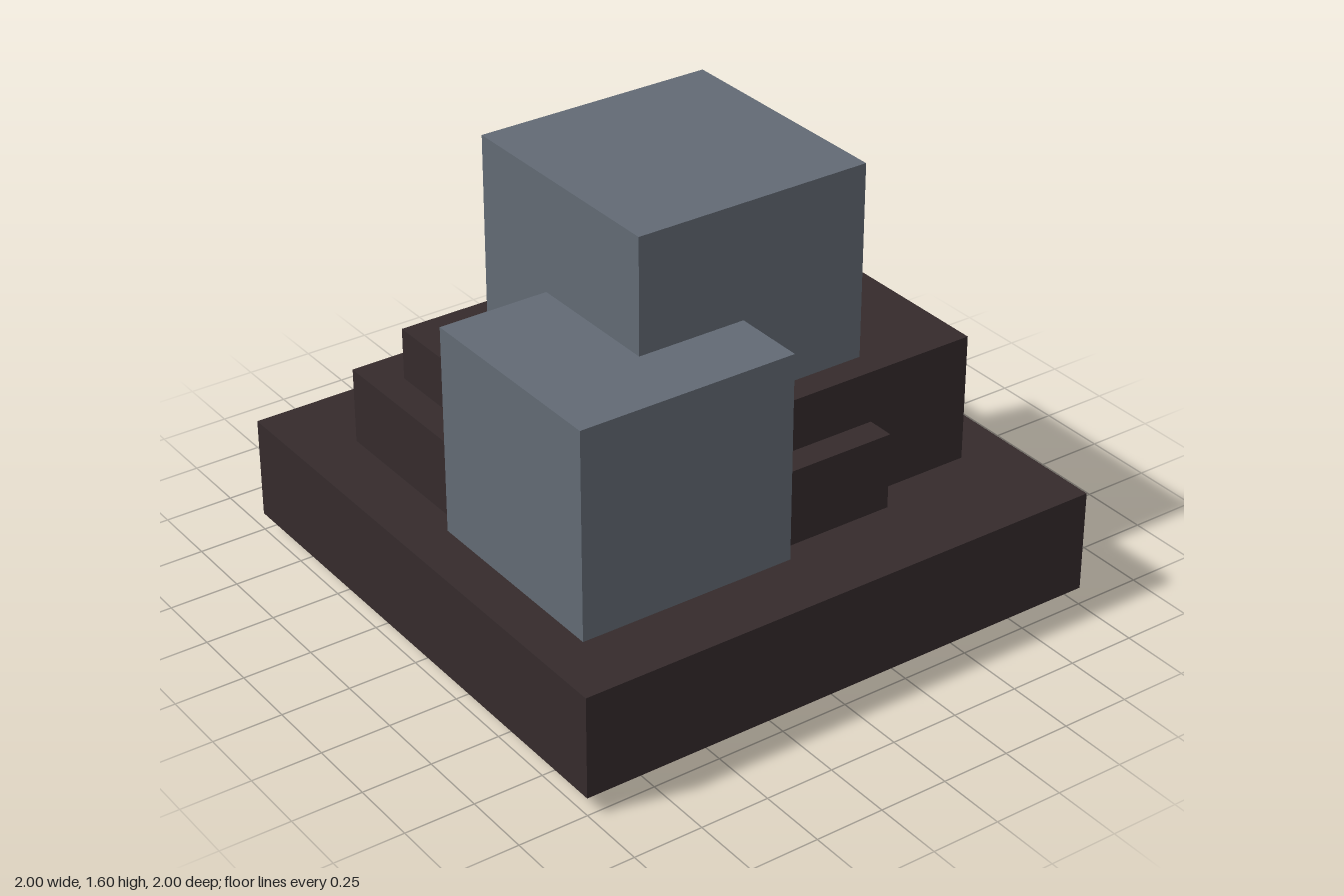
import * as THREE from 'three';

const slate = new THREE.MeshStandardMaterial({ color: 0x626a74 });
slate.name = 'slateGrey';
const brown = new THREE.MeshStandardMaterial({ color: 0x352b2c });
brown.name = 'darkBrown';

// Box from its min and max limits along each axis
function block(name, material, [x0, x1], [y0, y1], [z0, z1]) {
  const mesh = new THREE.Mesh(new THREE.BoxGeometry(x1 - x0, y1 - y0, z1 - z0), material);
  mesh.position.set((x0 + x1) / 2, (y0 + y1) / 2, (z0 + z1) / 2);
  mesh.name = name;
  return mesh;
}

export function createModel() {
  const model = new THREE.Group();
  model.name = 'stackedBlocks';

  // Square slab: brown all round, slate on its underside
  const slabSides = [brown, brown, brown, slate, brown, brown];
  model.add(block('baseSlab', slabSides, [-1, 1], [0.065, 0.437], [-1, 1]));

  // Brown core blocks; the lower one passes through the slab as a foot
  model.add(
    block('lowerCore', brown, [-0.79, 0.41], [0, 0.715], [-0.69, 0.685]),
    block('footTab', brown, [0.41, 0.72], [0, 0.1], [-0.32, 0.325]),
    block('upperCore', brown, [-0.68, 0.81], [0.4, 0.903], [-0.54, 0.585]),
  );

  // Slate blocks
  model.add(
    block('frontBlock', slate, [-0.84, -0.04], [0.4, 1.19], [-0.03, 0.75]),
    block('backBlock', slate, [-0.11, 0.56], [0.4, 1.128], [-0.76, -0.015]),
    block('topBlock', slate, [-0.44, 0.435], [0.8, 1.603], [-0.39, 0.485]),
  );

  return model;
}
